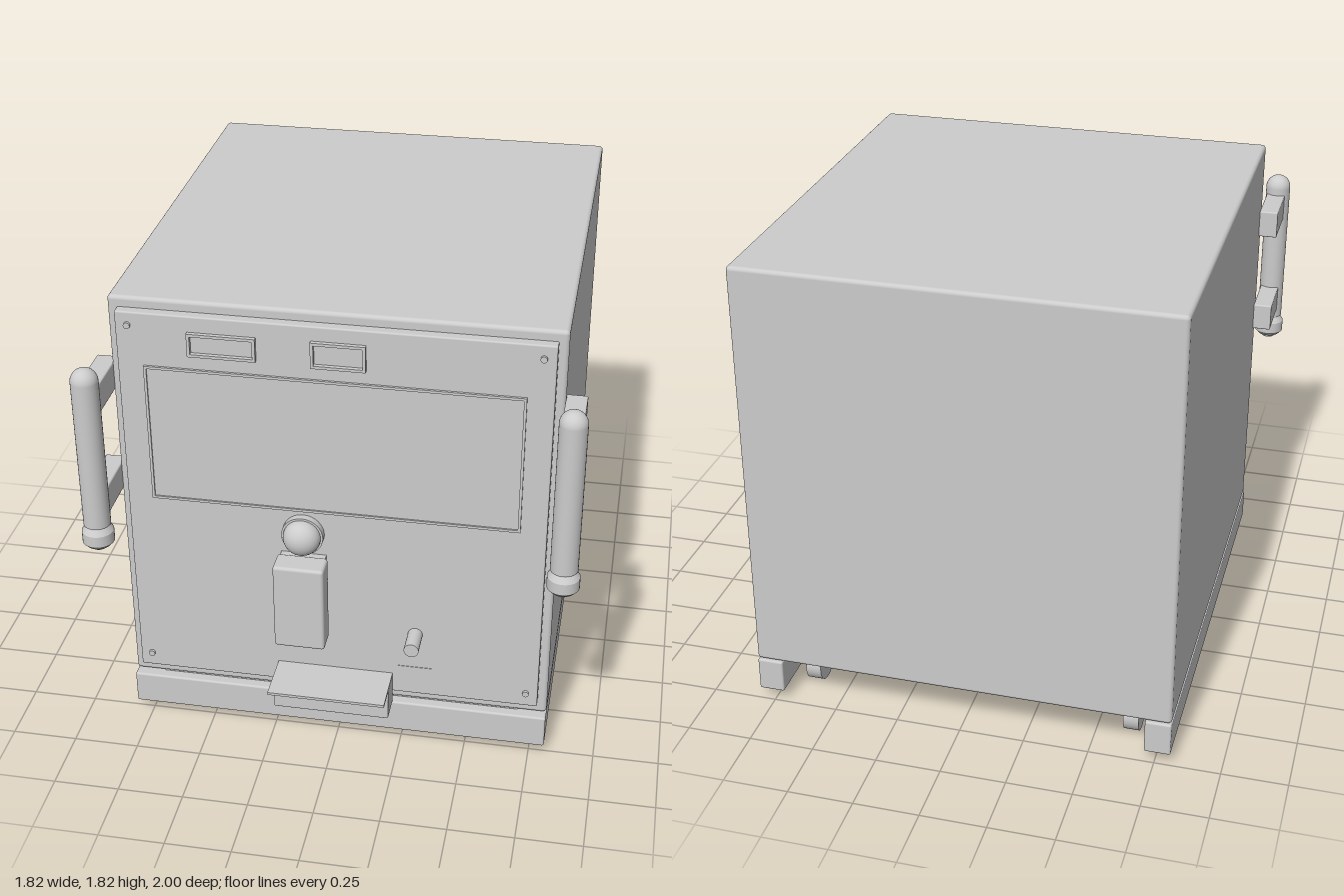
import * as THREE from 'three';
import { RoundedBoxGeometry } from 'three/addons/geometries/RoundedBoxGeometry.js';

const grey = new THREE.MeshStandardMaterial({ color: 0xcccccc });
grey.name = 'lightGrey';

export function createModel() {
  const model = new THREE.Group();
  model.name = 'cabinet';

  const add = (name, geometry, parent = model) => {
    const mesh = new THREE.Mesh(geometry, grey);
    mesh.name = name;
    parent.add(mesh);
    return mesh;
  };
  // Box given by its limits; a radius rounds the edges
  const box = (name, x0, x1, y0, y1, z0, z1, radius = 0, parent = model) => {
    const size = [x1 - x0, y1 - y0, z1 - z0];
    const geometry = radius ? new RoundedBoxGeometry(...size, 3, radius) : new THREE.BoxGeometry(...size);
    const mesh = add(name, geometry, parent);
    mesh.position.set((x0 + x1) / 2, (y0 + y1) / 2, (z0 + z1) / 2);
    return mesh;
  };
  // Cylinder pointing forward, starting at z0
  const peg = (name, x, y, z0, z1, r) => {
    const mesh = add(name, new THREE.CylinderGeometry(r, r, z1 - z0, 32).rotateX(Math.PI / 2));
    mesh.position.set(x, y, (z0 + z1) / 2);
    return mesh;
  };
  // Rectangular frame on the front panel
  const frame = (name, x0, x1, y0, y1, z1, w) => {
    const shape = new THREE.Shape([[x0, y0], [x1, y0], [x1, y1], [x0, y1]].map(p => new THREE.Vector2(...p)));
    shape.holes.push(new THREE.Path(
      [[x0 + w, y0 + w], [x0 + w, y1 - w], [x1 - w, y1 - w], [x1 - w, y0 + w]].map(p => new THREE.Vector2(...p))));
    const depth = z1 - 0.78;
    add(name, new THREE.ExtrudeGeometry(shape, { depth, bevelEnabled: false })).position.z = 0.78;
  };

  // Cabinet and front panel
  box('body', -0.81, 0.81, 0.185, 1.82, -1, 0.75, 0.015);
  box('frontPanel', -0.775, 0.775, 0.24, 1.78, 0.74, 0.787, 0.006);
  box('panelSeam', -0.7, 0.7, 0.17, 0.19, 0.7, 0.74);

  // U-shaped base, open at the back
  box('baseFront', -0.81, 0.81, 0.045, 0.18, 0.68, 0.78, 0.008);
  for (const s of [-1, 1]) {
    const side = s < 0 ? [-0.81, -0.71] : [0.71, 0.81];
    box('baseRail', ...side, 0.045, 0.18, -1, 0.78, 0.008);
    for (const z of [0.56, -0.8]) {
      const wheel = add('wheel', new THREE.CylinderGeometry(0.075, 0.075, 0.06, 32).rotateZ(Math.PI / 2));
      wheel.position.set(s * 0.635, 0.075, z);
      const axle = add('axle', new THREE.CylinderGeometry(0.018, 0.018, 0.12, 16).rotateZ(Math.PI / 2));
      axle.position.set(s * 0.67, 0.085, z);
    }
  }

  // Window and displays
  frame('windowFrame', -0.68, 0.68, 1.025, 1.575, 0.796, 0.01);
  box('windowPane', -0.67, 0.67, 1.035, 1.565, 0.78, 0.79);
  frame('leftDisplayFrame', -0.515, -0.27, 1.63, 1.72, 0.803, 0.011);
  frame('rightDisplayFrame', -0.075, 0.12, 1.625, 1.725, 0.803, 0.011);

  // Panel screws
  for (const x of [-0.73, 0.73])
    for (const y of [0.3, 1.73]) peg('screw', x, y, 0.78, 0.797, 0.012);

  // Knob, latch box, peg and slot
  peg('knobCollar', -0.115, 0.93, 0.78, 0.815, 0.078);
  const knob = add('knob', new THREE.SphereGeometry(0.07, 32, 20));
  knob.position.set(-0.115, 0.93, 0.82);
  knob.scale.z = 0.85;
  box('latchBack', -0.2, -0.03, 0.5, 0.84, 0.78, 0.83);
  box('latchBox', -0.21, -0.02, 0.49, 0.845, 0.81, 0.907, 0.012);
  peg('valvePeg', 0.305, 0.52, 0.78, 0.89, 0.028);
  box('slot', 0.24, 0.37, 0.363, 0.367, 0.78, 0.789);

  // Tray with a projecting lip
  box('trayBox', -0.225, 0.22, 0.185, 0.318, 0.78, 0.89, 0.006);
  box('trayLip', -0.225, 0.22, 0.315, 0.326, 0.78, 0.985);

  // Side handles: turned grip on two brackets
  const profile = [[0, 0.885], [0.026, 0.885], [0.026, 0.9], [0.045, 0.9], [0.059, 0.915], [0.059, 0.96],
    [0.045, 0.982], [0.045, 0.988], [0.05, 0.988], [0.05, 1.575]].map(p => new THREE.Vector2(...p));
  const grip = [];
  profile.forEach((p, i) => {
    // doubled points keep the turned edges crisp
    grip.push(p);
    if (i > 0 && i < profile.length - 1) grip.push(p.clone());
  });
  for (const s of [-1, 1]) {
    const handle = new THREE.Group();
    handle.name = s > 0 ? 'leftHandle' : 'rightHandle';
    model.add(handle);
    const bar = add('grip', new THREE.LatheGeometry(grip, 32), handle);
    bar.position.set(s * 0.85, 0, 0.938);
    const cap = add('gripCap', new THREE.SphereGeometry(0.05, 32, 12, 0, Math.PI * 2, 0, Math.PI / 2), handle);
    cap.position.set(s * 0.85, 1.575, 0.938);
    const side = s < 0 ? [-0.883, -0.808] : [0.808, 0.883];
    for (const y of [1.02, 1.44]) box('bracket', ...side, y, y + 0.11, 0.69, 0.92, 0.006, handle);
  }
  return model;
}
